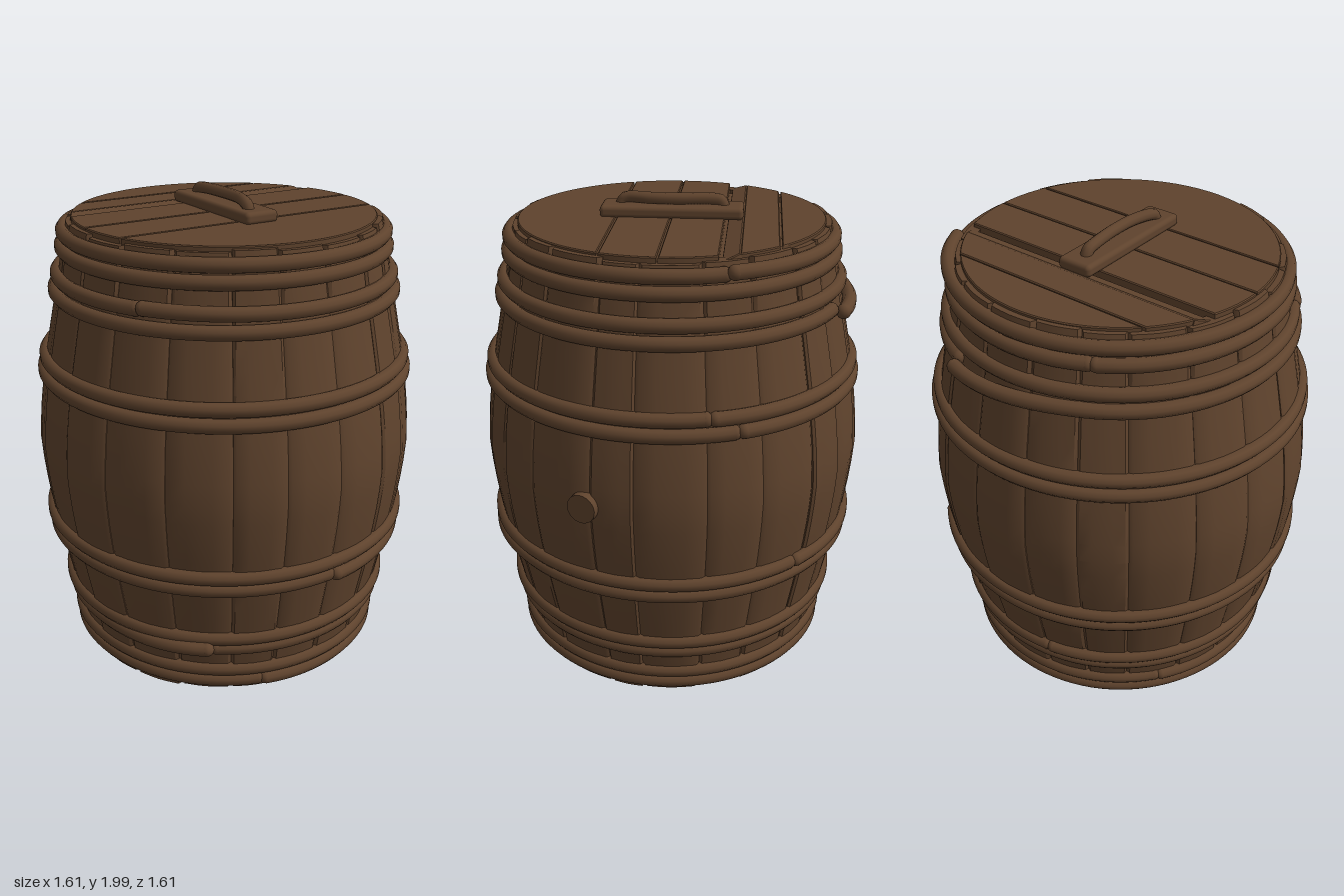
import * as THREE from 'three';
import { toCreasedNormals } from 'three/addons/utils/BufferGeometryUtils.js';
import { RoundedBoxGeometry } from 'three/addons/geometries/RoundedBoxGeometry.js';

const wood = new THREE.MeshStandardMaterial({ color: 0x5f432d });
wood.name = 'brown wood';

// small seeded generator for hand-made irregularity
let seed = 7;
const rnd = () => (seed = (seed * 16807) % 2147483647) / 2147483647;
const jitter = (a) => (rnd() - 0.5) * 2 * a;

function part(name, geometry, parent) {
  const mesh = new THREE.Mesh(geometry, wood);
  mesh.name = name;
  parent.add(mesh);
  return mesh;
}

// barrel radius as a function of distance from mid height
const bulge = new THREE.SplineCurve([
  [0, 0.803], [0.25, 0.787], [0.42, 0.757], [0.6, 0.72], [0.78, 0.682], [0.95, 0.656],
].map(([d, r]) => new THREE.Vector2(d, r)));
const MID = 0.957;

// one curved stave: closed cross-sections lofted from bottom to top
function staveGeometry(a0, a1) {
  const rows = 22, pos = [], idx = [];
  const offset = jitter(0.004), yTop = 1.895 + jitter(0.01), yBottom = 0.014 + jitter(0.007);
  const cols = [[0, -0.008], [0.06, 0], [0.3, 0.001], [0.5, 0.002], [0.7, 0.001], [0.94, 0], [1, -0.008]];
  const n = cols.length + 2;
  for (let j = 0; j <= rows; j++) {
    const s = (j / rows) * 2 - 1;
    const end = Math.abs(s) > 0.999 ? 1 : 0;
    const notch = Math.max(0, (Math.abs(s) - 0.8) / 0.2) * 0.012;
    const p = bulge.getPoint(Math.abs(s));
    const r = p.y + offset - end * 0.012;
    const y = MID + s * (s > 0 ? yTop - MID : MID - yBottom);
    const ring = cols.map(([u, d]) => [a0 + (a1 - a0) * u, r + d - (u === 0 || u === 1 ? notch : 0)]);
    ring.push([a1, r - 0.045], [a0, r - 0.045]);
    ring.forEach(([a, q]) => pos.push(Math.cos(a) * q, y, Math.sin(a) * q));
  }
  for (let j = 0; j < rows; j++) {
    for (let i = 0; i < n; i++) {
      const a = j * n + i, c = j * n + ((i + 1) % n);
      idx.push(a, a + n, c, a + n, c + n, c);
    }
  }
  const t = rows * n;
  for (let i = 1; i < n - 1; i++) idx.push(0, i, i + 1, t, t + i + 1, t + i);
  const g = new THREE.BufferGeometry();
  g.setAttribute('position', new THREE.Float32BufferAttribute(pos, 3));
  g.setIndex(idx);
  return toCreasedNormals(g, 0.6);
}

// board cut from a disc of radius R between two z lines
function boardGeometry(z0, z1, R, thick) {
  const gap = 0.003, bevel = 0.004, r = R - bevel;
  const a0 = Math.asin(Math.max(-1, (z0 + gap + bevel) / r));
  const a1 = Math.asin(Math.min(1, (z1 - gap - bevel) / r));
  const right = [];
  for (let i = 0; i <= 14; i++) {
    const a = a0 + ((a1 - a0) * i) / 14;
    right.push(new THREE.Vector2(Math.cos(a) * r, -Math.sin(a) * r));
  }
  const left = right.filter((p) => p.x > 1e-4).map((p) => new THREE.Vector2(-p.x, p.y)).reverse();
  const g = new THREE.ExtrudeGeometry(new THREE.Shape([...right, ...left]), {
    depth: thick - 2 * bevel, bevelEnabled: true, bevelThickness: bevel, bevelSize: bevel, bevelSegments: 1,
  });
  return g.rotateX(-Math.PI / 2).translate(0, bevel, 0);
}

// tube along points with rounded ends
function rod(name, points, r, segments, parent) {
  const curve = new THREE.CatmullRomCurve3(points);
  part(name, new THREE.TubeGeometry(curve, segments, r, 10), parent);
  for (const p of [points[0], points[points.length - 1]]) {
    part(name + 'End', new THREE.SphereGeometry(r, 10, 8), parent).position.copy(p);
  }
}

export function createModel() {
  const barrel = new THREE.Group();
  barrel.name = 'barrel';

  // staves of uneven width
  const staves = new THREE.Group();
  staves.name = 'staves';
  barrel.add(staves);
  const widths = Array.from({ length: 21 }, () => 1 + jitter(0.25));
  const total = widths.reduce((a, b) => a + b, 0);
  let angle = 0.1;
  for (const w of widths) {
    const next = angle + (w / total) * Math.PI * 2;
    part('stave', staveGeometry(angle, next), staves);
    angle = next;
  }

  // hoops: height, outer radius, seam angle, direction, loose-end lift and rise
  const hoops = new THREE.Group();
  hoops.name = 'hoops';
  barrel.add(hoops);
  [
    [1.85, 0.69, -0.4, 1, 0.025, 0.012], [1.787, 0.698, 4.2, 1, 0.004, 0],
    [1.677, 0.722, 2.58, 1, 0.006, 0.006], [1.612, 0.735, -1.2, 1, 0.04, -0.012],
    [1.335, 0.787, -0.28, 1, 0.004, 0], [1.275, 0.797, -0.42, 1, 0.008, 0.004],
    [0.627, 0.797, -0.78, 1, 0.004, 0], [0.568, 0.787, 1.51, 1, 0.012, -0.006],
    [0.302, 0.73, 4.5, 1, 0.004, 0], [0.247, 0.715, 2.2, -1, 0.045, 0.02],
    [0.128, 0.695, 3.8, 1, 0.004, 0], [0.072, 0.69, 1.88, 1, 0.008, 0],
  ].forEach(([y, outer, seam, dir, lift, rise]) => {
    const points = [];
    for (let i = 0; i <= 64; i++) {
      const t = i / 64;
      const f = THREE.MathUtils.smoothstep(t, 0.87, 1);
      const a = seam + dir * (0.03 + t * (Math.PI * 2 - 0.05));
      const r = outer - 0.03 + lift * f;
      points.push(new THREE.Vector3(Math.cos(a) * r, y + rise * f, Math.sin(a) * r));
    }
    rod('hoop', points, 0.03, 96, hoops);
  });

  // lid and base boards
  const cuts = [-0.63, -0.44, -0.22, 0, 0.22, 0.63];
  for (let i = 0; i < 5; i++) {
    const z0 = cuts[i], z1 = cuts[i + 1];
    const worn = i === 1;
    part('lidBoard', boardGeometry(z0, worn ? -0.29 : z1, 0.625, 0.04), barrel).position.y = 1.87;
    if (worn) {
      // sloping worn edge of the second board
      const edge = boardGeometry(-0.296, z1, 0.625, 0.04)
        .translate(0, -0.04, 0.29).rotateX(0.35).translate(0, 1.91, -0.29);
      part('lidBoardWornEdge', edge, barrel);
    }
    part('baseBoard', boardGeometry(z0, z1, 0.625, 0.035), barrel).position.y = 0.012;
  }
  // backing that closes the lid seams
  part('lidBacking', new THREE.CylinderGeometry(0.61, 0.61, 0.02, 48), barrel).position.y = 1.86;
  part('baseBacking', new THREE.CylinderGeometry(0.61, 0.61, 0.02, 48), barrel).position.y = 0.05;

  // lid handle: plate and bent grip
  const handle = new THREE.Group();
  handle.name = 'handle';
  barrel.add(handle);
  part('handlePlate', new RoundedBoxGeometry(0.15, 0.05, 0.58, 3, 0.018), handle).position.set(0, 1.929, -0.002);
  rod('handleGrip', [
    [0, 1.94, -0.215], [0, 1.968, -0.2], [0.002, 1.976, -0.16], [0.015, 1.976, -0.02],
    [0.01, 1.976, 0.09], [-0.012, 1.974, 0.175], [-0.015, 1.966, 0.198], [-0.015, 1.94, 0.21],
  ].map((p) => new THREE.Vector3(...p)), 0.024, 40, handle);

  // bung plug in the side
  const plug = part('bung', new THREE.CylinderGeometry(0.06, 0.064, 0.08, 24), barrel);
  const out = new THREE.Vector3(0.94, 0, 0.34).normalize();
  plug.quaternion.setFromUnitVectors(new THREE.Vector3(0, 1, 0), out);
  plug.position.copy(out).multiplyScalar(0.79).setY(0.96);

  return barrel;
}
